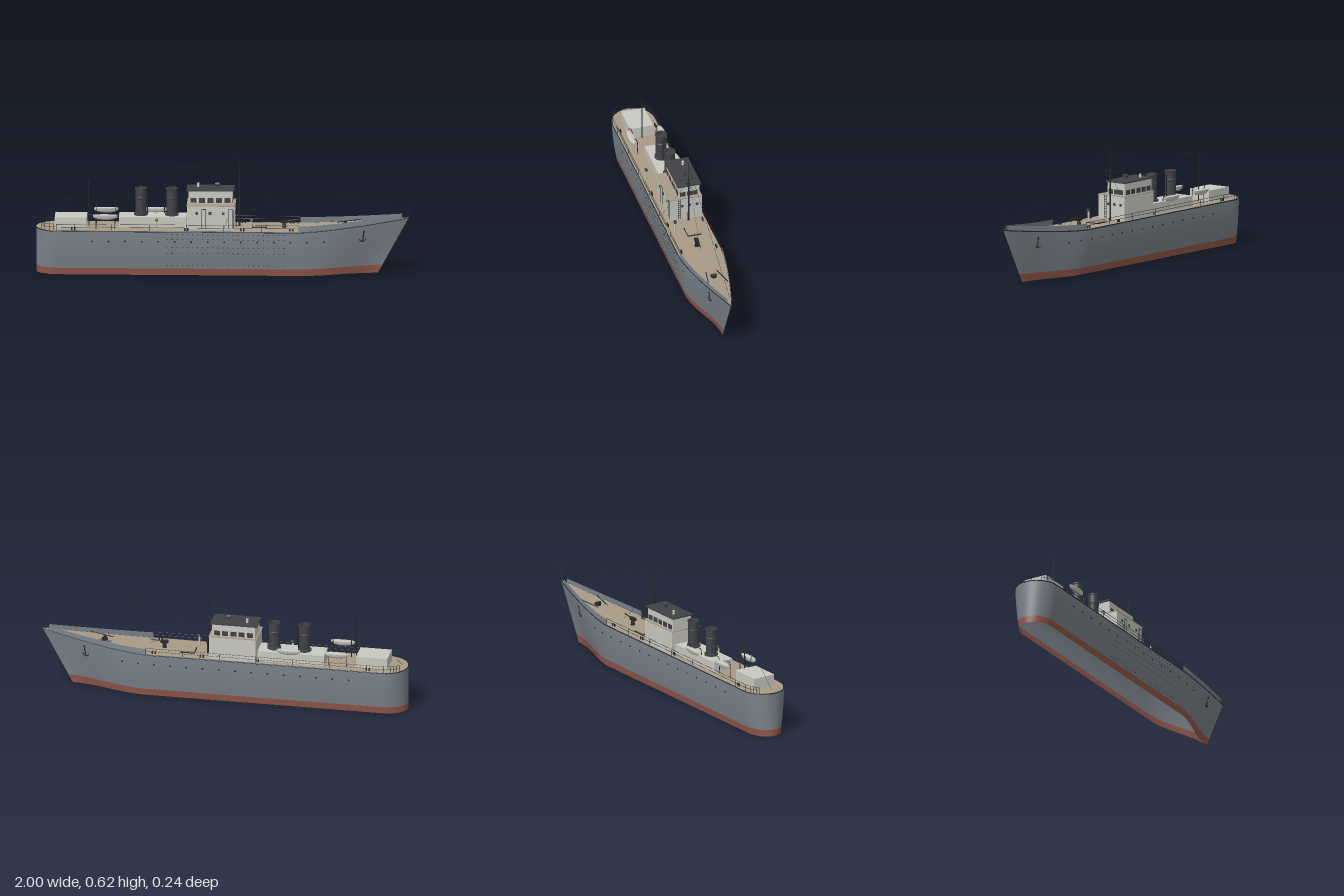
import * as THREE from 'three';
import { mergeGeometries } from 'three/addons/utils/BufferGeometryUtils.js';

const mat = (name, color, side = THREE.FrontSide) => {
  const m = new THREE.MeshStandardMaterial({ color, side });
  m.name = name;
  return m;
};
const V = (x, y, z) => new THREE.Vector3(x, y, z);

// Hull rules: q runs 0..1 along the bow taper, v runs 0..1 from keel to sheer
const sheer = q => 0.245 + 0.06 * Math.pow(q, 1.4);
const stemX = v => 0.82 + 0.165 * v;
const beam = v => 0.09 + 0.026 * Math.sin(v * Math.PI / 2);
const halfWidth = (q, v) => {
  const low = 0.5 * (1 + Math.cos(Math.PI * q)), high = 1 - Math.pow(q, 1.35);
  return beam(v) * THREE.MathUtils.lerp(low, high, Math.pow(v, 0.7));
};
// u = -1 and 1 are the stem, u = 0 is the middle of the round stern
function hullPoint(u, v) {
  const a = Math.abs(u), s = u < 0 ? -1 : 1;
  if (a < 0.25) {
    const t = a / 0.25 * Math.PI / 2;
    return V(-0.88 - 0.12 * Math.cos(t), v * 0.245, s * beam(v) * Math.sin(t));
  }
  if (a < 0.4) return V(-0.88 + (a - 0.25) / 0.15 * 1.28, v * 0.245, s * beam(v));
  const q = (a - 0.4) / 0.6;
  return V(0.4 + q * (stemX(v) - 0.4), v * sheer(q), s * halfWidth(q, v));
}
// Point on the hull side at a given x and y
function onHull(x, y, s) {
  let v = y / 0.245, q = 0;
  for (let i = 0; i < 8; i++) {
    q = Math.max(0, (x - 0.4) / (stemX(v) - 0.4));
    v = y / sheer(q);
  }
  return V(x, y, s * halfWidth(q, v));
}
// Surface through a grid of points
function surface(nu, nv, point) {
  const pos = [], index = [];
  for (let i = 0; i <= nu; i++) for (let j = 0; j <= nv; j++) pos.push(...point(i / nu, j / nv).toArray());
  for (let i = 0; i < nu; i++) for (let j = 0; j < nv; j++) {
    const a = i * (nv + 1) + j, b = a + nv + 1;
    index.push(a, b, a + 1, b, b + 1, a + 1);
  }
  const g = new THREE.BufferGeometry();
  g.setAttribute('position', new THREE.Float32BufferAttribute(pos, 3));
  g.setIndex(index);
  g.computeVertexNormals();
  return g;
}
const boxGeo = (x0, x1, y0, y1, z0, z1) =>
  new THREE.BoxGeometry(x1 - x0, y1 - y0, z1 - z0).translate((x0 + x1) / 2, (y0 + y1) / 2, (z0 + z1) / 2);
function rodGeo(a, b, r, r2 = r, n = 8) {
  const d = b.clone().sub(a), g = new THREE.CylinderGeometry(r2, r, d.length(), n);
  g.applyQuaternion(new THREE.Quaternion().setFromUnitVectors(V(0, 1, 0), d.normalize()));
  return g.translate((a.x + b.x) / 2, (a.y + b.y) / 2, (a.z + b.z) / 2);
}
const tube = (pts, r, n = 48) => new THREE.TubeGeometry(new THREE.CatmullRomCurve3(pts), n, r, 6);

export function createModel() {
  const ship = new THREE.Group();
  ship.name = 'ship';
  const grey = mat('hullGrey', 0x7b838b, THREE.DoubleSide);
  const red = mat('bottomRed', 0x93584b, THREE.DoubleSide);
  const tan = mat('deckTan', 0xa89b87, THREE.DoubleSide);
  const pale = mat('housePale', 0xc9c9c1, THREE.DoubleSide);
  const dark = mat('funnelDark', 0x414247);
  const black = mat('fittingBlack', 0x26282b);
  const add = (name, material, ...geos) => {
    const m = new THREE.Mesh(geos.length > 1 ? mergeGeometries(geos) : geos[0], material);
    m.name = name;
    ship.add(m);
    return m;
  };

  // Hull shell, open below
  add('hullBottomBand', red, surface(160, 3, (i, j) => hullPoint(1 - i * 2, j * 0.15)));
  add('hullSides', grey, surface(160, 10, (i, j) => hullPoint(1 - i * 2, 0.15 + j * 0.85)));
  add('deck', tan, surface(80, 1, (i, j) => hullPoint(j ? -i : i, 0.995)));
  for (const s of [-1, 1]) {
    add('bowBulwark', grey, surface(30, 1, (i, j) => {
      const p = hullPoint(s * (0.4 + i * 0.56), 1);
      return V(p.x, p.y + j * (0.03 - 0.008 * i), p.z * (1 - 0.02 * j));
    }));
    const rim = [];
    for (let i = 0; i <= 30; i++) rim.push(hullPoint(s * i / 30, 0.985));
    add('rubbingStrake', black, tube(rim, 0.003, 90));
  }
  add('stem', black, rodGeo(V(0.82, 0, 0), V(0.986, 0.306, 0), 0.003));

  // Portholes, side markings, anchors
  const ports = [], marks = [];
  for (const s of [-1, 1]) {
    for (let x = -0.7; x < 0.55; x += 0.088) {
      const p = onHull(x, 0.187, s);
      ports.push(new THREE.CylinderGeometry(0.005, 0.005, 0.003, 10).rotateX(Math.PI / 2).translate(p.x, p.y, p.z));
    }
    const top = onHull(0.745, 0.238, s), foot = onHull(0.738, 0.18, s);
    const crown = [-0.018, -0.01, 0, 0.01, 0.018].map(d => {
      const p = onHull(0.738 + d, 0.18 + d * d * 50, s);
      return p.setZ(p.z + s * 0.002);
    });
    add('anchor', black, rodGeo(foot, top, 0.0035), tube(crown, 0.003, 12),
      new THREE.SphereGeometry(0.006, 10, 8).translate(top.x, top.y, top.z));
  }
  for (const y of [0.226, 0.2, 0.155, 0.122, 0.055])
    for (let x = -0.3; x < 0.34; x += 0.027) {
      const p = onHull(x, y, 1);
      marks.push(new THREE.BoxGeometry(0.006, 0.003, 0.003).translate(p.x, p.y, p.z));
    }
  add('portholes', black, ...ports);
  add('sideMarkings', black, ...marks);

  // Deck railings
  const rails = [];
  for (const s of [-1, 1]) {
    const pts = [];
    for (let i = 0; i <= 24; i++) {
      const p = hullPoint(s * (0.12 + i / 24 * 0.28), 1);
      p.z *= 0.97;
      pts.push(p);
      if (i % 2 === 0) rails.push(rodGeo(p, V(p.x, p.y + 0.034, p.z), 0.0013, 0.0013, 5));
    }
    for (const h of [0.018, 0.034]) rails.push(tube(pts.map(p => V(p.x, p.y + h, p.z)), 0.0011, 60));
  }
  add('railings', black, ...rails);

  // Deckhouses
  add('aftDeckhouse', pale, boxGeo(-0.9, -0.73, 0.244, 0.305, -0.065, 0.065));
  add('boilerHouse', pale, boxGeo(-0.56, -0.2, 0.244, 0.302, -0.085, 0.033));
  add('lowerBridge', pale, boxGeo(-0.195, 0.058, 0.244, 0.371, -0.105, 0.07));
  add('bridgeDeck', tan, boxGeo(-0.198, 0.061, 0.371, 0.375, -0.107, 0.073));
  add('wheelhouse', pale, boxGeo(-0.19, 0.045, 0.375, 0.443, -0.095, 0.02));
  add('wheelhouseRoof', dark, boxGeo(-0.2, 0.054, 0.443, 0.45, -0.103, 0.028));

  // Windows, doors and front portholes
  const panes = [];
  for (let i = 0; i < 5; i++) {
    const x = -0.178 + i * 0.045;
    for (const z of [0.02, -0.095]) panes.push(boxGeo(x, x + 0.032, 0.38, 0.406, z - 0.002, z + 0.002));
  }
  for (const z of [-0.082, -0.052, -0.014]) panes.push(boxGeo(0.043, 0.047, 0.38, 0.406, z - 0.003, z + 0.026));
  for (const z of [0.005, -0.037, -0.078])
    panes.push(new THREE.CylinderGeometry(0.008, 0.008, 0.005, 14).rotateZ(Math.PI / 2).translate(0.058, 0.327, z));
  for (const x of [-0.15, -0.08, -0.01]) panes.push(boxGeo(x, x + 0.014, 0.325, 0.34, 0.068, 0.072));
  add('windows', dark, ...panes);
  const trim = [];
  for (const x of [-0.12, 0.025]) trim.push(
    rodGeo(V(x, 0.25, 0.071), V(x, 0.355, 0.071), 0.0015), rodGeo(V(x + 0.024, 0.25, 0.071), V(x + 0.024, 0.355, 0.071), 0.0015),
    rodGeo(V(x, 0.355, 0.071), V(x + 0.024, 0.355, 0.071), 0.0015));
  for (const z of [0.014, 0.027]) trim.push(rodGeo(V(0.064, 0.25, z), V(0.064, 0.375, z), 0.0014));
  for (let y = 0.26; y < 0.375; y += 0.013) trim.push(rodGeo(V(0.064, y, 0.014), V(0.064, y, 0.027), 0.0012));
  add('doorFramesAndLadder', black, ...trim);

  // Funnels with collars
  for (const x of [-0.444, -0.28]) {
    const prof = [[0.036, 0.3], [0.036, 0.312], [0.029, 0.314], [0.029, 0.392], [0.031, 0.394], [0.031, 0.4],
      [0.029, 0.402], [0.029, 0.44], [0.032, 0.442], [0.032, 0.45], [0.026, 0.45], [0.025, 0.43], [0, 0.43]];
    const g = new THREE.LatheGeometry(prof.map(p => new THREE.Vector2(...p)), 28).toNonIndexed();
    g.computeVertexNormals();
    add('funnel', dark, g).position.set(x, 0, -0.025);
    add('steamPipe', black, rodGeo(V(x + 0.034, 0.3, -0.025), V(x + 0.034, 0.43, -0.025), 0.003));
  }

  // Masts, yard and bow staff
  add('foremast', black, rodGeo(V(0.08, 0.244, -0.025), V(0.08, 0.53, -0.025), 0.005, 0.0035),
    rodGeo(V(0.08, 0.53, -0.025), V(0.08, 0.615, -0.025), 0.002, 0.001),
    rodGeo(V(0.08, 0.51, -0.08), V(0.08, 0.51, 0.032), 0.0016),
    new THREE.CylinderGeometry(0.011, 0.009, 0.006, 12).translate(0.08, 0.478, -0.025));
  add('aftMast', black, rodGeo(V(-0.72, 0.244, 0), V(-0.72, 0.5, 0), 0.0035, 0.002));
  add('bowStaff', black, rodGeo(V(0.972, 0.3, 0), V(0.999, 0.382, 0), 0.0015));
  const wires = [[V(-0.72, 0.498, 0), V(0.08, 0.605, -0.025)], [V(0.08, 0.605, -0.025), V(0.95, 0.33, 0)],
    [V(-0.72, 0.498, 0), V(-0.97, 0.25, 0)], [V(0.08, 0.52, -0.025), V(0.4, 0.26, 0)],
    [V(0.08, 0.5, -0.025), V(0.0, 0.25, 0.1)], [V(0.08, 0.5, -0.025), V(0.0, 0.25, -0.112)]];
  add('rigging', black, ...wires.map(([a, b]) => rodGeo(a, b, 0.0007, 0.0007, 4)));

  // Roof fittings
  add('roofVent', pale, rodGeo(V(-0.14, 0.45, -0.057), V(-0.14, 0.471, -0.057), 0.007, 0.007, 14));
  add('searchlight', dark, rodGeo(V(-0.04, 0.45, -0.037), V(-0.04, 0.462, -0.037), 0.003),
    rodGeo(V(-0.05, 0.469, -0.037), V(-0.026, 0.469, -0.037), 0.009, 0.011, 16));

  // Lifeboats on davits
  for (const [x, z] of [[-0.63, 0.087], [-0.63, -0.087], [-0.37, -0.092]]) {
    const g = surface(20, 10, (i, j) => {
      const k = Math.pow(Math.max(0, 1 - Math.pow(2 * i - 1, 2)), 0.6), t = j * Math.PI;
      return V(x + (i - 0.5) * 0.13, 0.325 - 0.028 * (0.35 + 0.65 * k) * Math.sin(t), z - 0.016 * k * Math.cos(t));
    });
    const cover = surface(20, 4, (i, j) => {
      const k = Math.pow(Math.max(0, 1 - Math.pow(2 * i - 1, 2)), 0.6);
      return V(x + (i - 0.5) * 0.13, 0.325 + 0.003 * k * Math.sin(j * Math.PI), z + 0.016 * k * (1 - 2 * j));
    });
    add('lifeboat', pale, g, cover);
    const s = Math.sign(z);
    add('davits', black, ...[-0.05, 0.05].map(d => tube([V(x + d, 0.244, z - s * 0.02), V(x + d, 0.32, z - s * 0.02),
      V(x + d, 0.342, z - s * 0.012), V(x + d, 0.345, z)], 0.0018, 14)));
  }

  // Hatch, deck gun, windlass and chains
  add('hatch', tan, boxGeo(0.15, 0.225, 0.244, 0.256, -0.052, 0.02));
  add('hatchRim', black, boxGeo(0.148, 0.227, 0.244, 0.249, -0.054, 0.022));
  add('deckGun', black, rodGeo(V(0.32, 0.244, 0), V(0.32, 0.272, 0), 0.012, 0.008, 12),
    boxGeo(0.3, 0.34, 0.27, 0.285, -0.009, 0.009), rodGeo(V(0.33, 0.279, 0), V(0.395, 0.286, 0), 0.004, 0.003));
  add('windlass', black, rodGeo(V(0.645, 0.272, -0.016), V(0.645, 0.272, 0.016), 0.009, 0.009, 12),
    boxGeo(0.63, 0.66, 0.255, 0.27, -0.01, 0.01),
    ...[-1, 1].map(s => rodGeo(V(0.6, 0.268, s * 0.03), V(0.73, 0.28, s * 0.053), 0.0025)));

  // Cowl vents and bollards
  for (const [x, z] of [[0.145, 0.07], [-0.36, 0.083]]) {
    add('ventStalk', pale, rodGeo(V(x, 0.244, z), V(x, 0.295, z), 0.005, 0.005, 10));
    add('ventCowl', dark, rodGeo(V(x - 0.005, 0.298, z), V(x + 0.01, 0.298, z), 0.006, 0.009, 12));
  }
  const bollards = [];
  for (const x of [-0.8, -0.2, 0.1, 0.36]) for (const s of [-1, 1]) for (const d of [-0.008, 0.008])
    bollards.push(rodGeo(V(x + d, 0.243, s * 0.096), V(x + d, 0.259, s * 0.096), 0.004));
  add('bollards', black, ...bollards);
  return ship;
}
